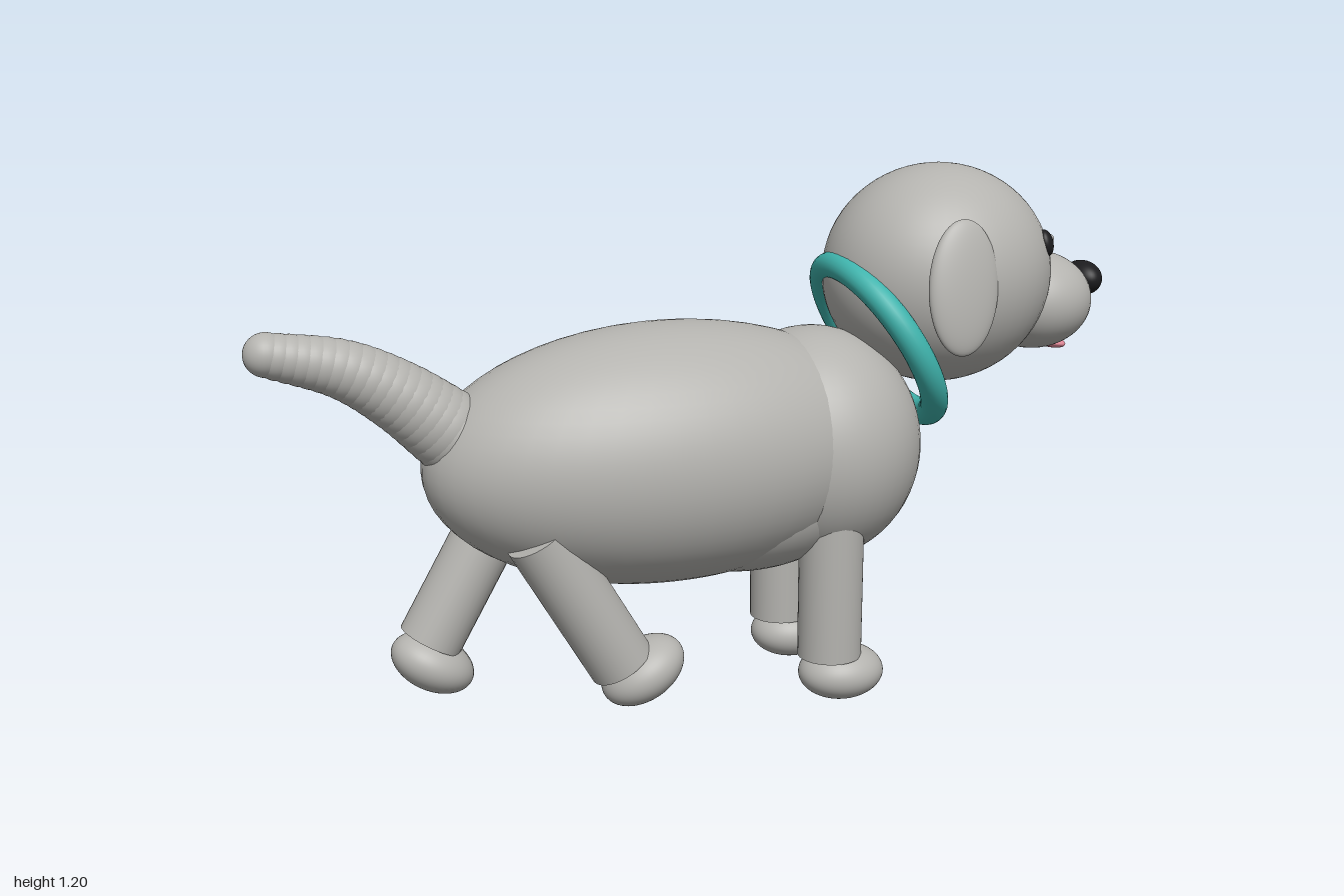
import * as THREE from 'three';

const mat = (name, color) => {
  const m = new THREE.MeshStandardMaterial({ color });
  m.name = name;
  return m;
};

export function createModel() {
  const fur = mat('grey fur', 0xb4b3af);
  const black = mat('black', 0x1c1c1e);
  const teal = mat('teal collar', 0x3fb3ac);
  const pink = mat('pink tongue', 0xe38a9a);

  const dog = new THREE.Group();
  dog.name = 'dog';

  const add = (name, geometry, material, pos, parent = dog) => {
    const mesh = new THREE.Mesh(geometry, material);
    mesh.name = name;
    mesh.position.set(...pos);
    parent.add(mesh);
    return mesh;
  };
  const ball = new THREE.SphereGeometry(1, 48, 32);
  const ellipsoid = (name, material, pos, radii, parent) => {
    const mesh = add(name, ball, material, pos, parent);
    mesh.scale.set(...radii);
    return mesh;
  };

  // Torso
  ellipsoid('body', fur, [-0.1, 0.59, 0], [0.55, 0.29, 0.29]);
  ellipsoid('chest', fur, [0.25, 0.575, 0], [0.25, 0.27, 0.255]);
  ellipsoid('belly', fur, [0.08, 0.49, 0], [0.3, 0.19, 0.228]);

  // Head, muzzle, nose and tongue
  ellipsoid('head', fur, [0.56, 0.95, 0], [0.265, 0.25, 0.25]);
  ellipsoid('muzzle', fur, [0.82, 0.87, 0], [0.14, 0.115, 0.135]);
  ellipsoid('nose', black, [0.957, 0.913, 0], [0.04, 0.041, 0.06]);
  ellipsoid('tongue', pink, [0.872, 0.765, 0], [0.04, 0.014, 0.044]).rotation.z = -0.2;

  // Eyes with glints, and hanging ears
  for (const [side, s] of [['left', 1], ['right', -1]]) {
    const eye = ellipsoid(side + 'Eye', black, [0.765, 1.024, s * 0.135], [0.017, 0.031, 0.026]);
    eye.rotation.set(0, -s * 0.55, 0.25);
    ellipsoid(side + 'EyeGlint', fur, [0.785, 1.031, s * 0.119], [0.009, 0.01, 0.01]);
    const ear = ellipsoid(side + 'Ear', fur, [0.497, 0.955, s * 0.24], [0.084, 0.148, 0.028]);
    ear.rotation.set(-s * 0.16, 0, -0.08);
  }

  // Tilted collar ring
  const collar = add('collar', new THREE.TorusGeometry(0.203, 0.031, 20, 64), teal, [0.415, 0.803, 0]);
  collar.quaternion.setFromUnitVectors(
    new THREE.Vector3(0, 0, 1),
    new THREE.Vector3(0.86, 0.51, 0).normalize()
  );

  // Legs hang from the hip and swing about z
  const shaft = new THREE.CylinderGeometry(0.073, 0.073, 0.36, 32).translate(0, -0.18, 0);
  const addLeg = (name, x, y, z, swing) => {
    const leg = new THREE.Group();
    leg.name = name;
    leg.position.set(x, y, z);
    leg.rotation.z = swing;
    add(name + 'Shaft', shaft, fur, [0, 0, 0], leg);
    ellipsoid(name + 'Paw', fur, [0.03, -0.405, 0], [0.1, 0.062, 0.085], leg);
    dog.add(leg);
  };
  addLeg('frontLegA', 0.24, 0.47, 0.14, 0);
  addLeg('frontLegB', 0.24, 0.47, -0.14, 0);
  addLeg('hindLegA', -0.44, 0.475, 0.14, Math.PI / 6);
  addLeg('hindLegB', -0.44, 0.475, -0.14, -Math.PI / 6);

  // Ribbed tail: shrinking balls along a curve
  const tail = new THREE.Group();
  tail.name = 'tail';
  dog.add(tail);
  const path = new THREE.CatmullRomCurve3([
    [-0.58, 0.675, 0], [-0.69, 0.765, 0], [-0.8, 0.83, 0], [-0.953, 0.873, 0],
  ].map((p) => new THREE.Vector3(...p)));
  const bead = new THREE.SphereGeometry(1, 32, 20);
  const count = 19;
  for (let i = 0; i < count; i++) {
    const t = i / (count - 1);
    const p = path.getPointAt(t);
    add('tailSegment', bead, fur, [p.x, p.y, 0], tail).scale.setScalar(0.09 - 0.044 * t);
  }

  return dog;
}
